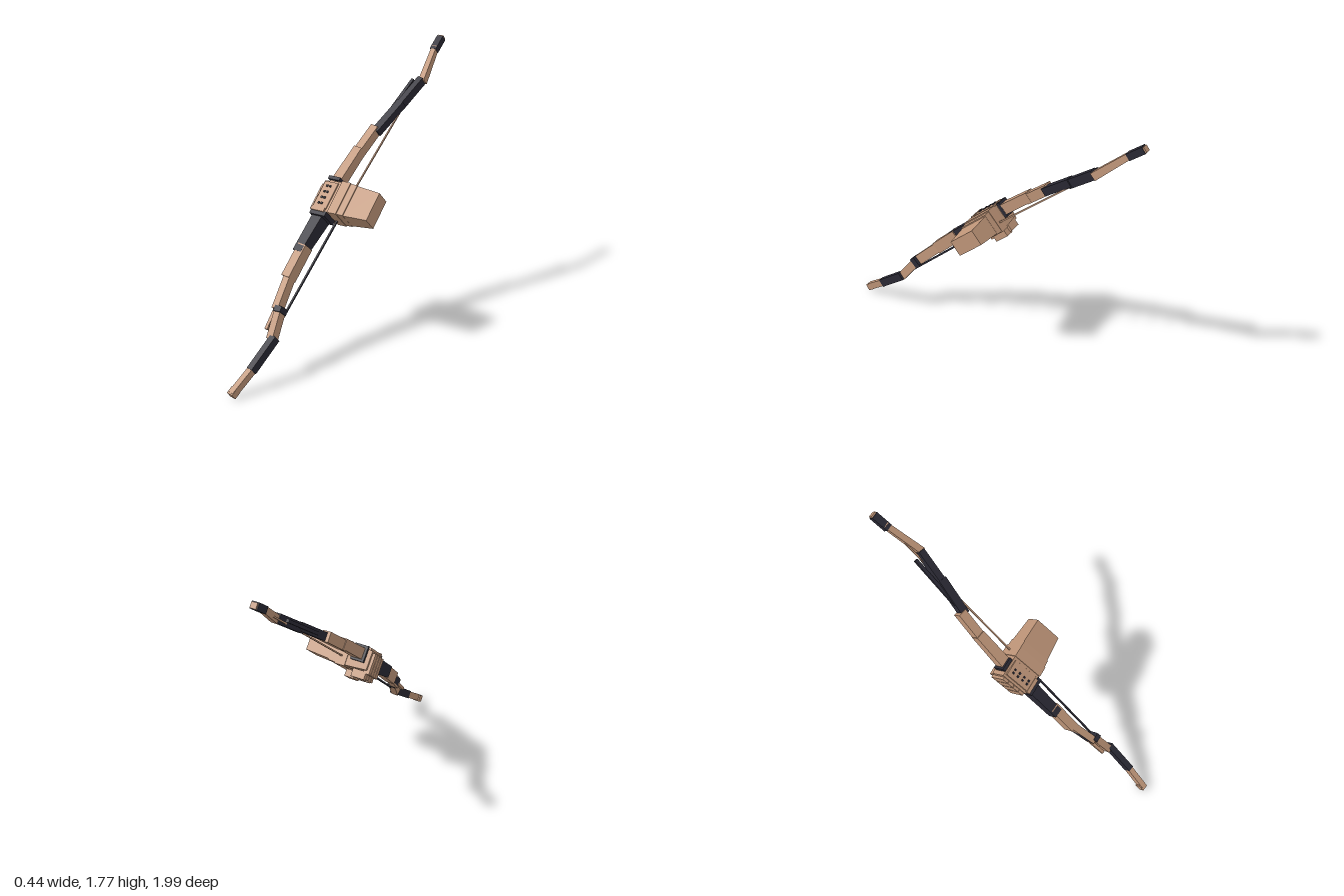
import * as THREE from 'three';

const tan = new THREE.MeshStandardMaterial({ color: 0xc1977a });
tan.name = 'tan';
const dark = new THREE.MeshStandardMaterial({ color: 0x2b2a35 });
dark.name = 'charcoal';

// Box running between two points; w is its width across x, d its depth
function beam(name, mat, a, b, w, d, w2 = w, d2 = d) {
  const A = new THREE.Vector3(...a), B = new THREE.Vector3(...b);
  const dir = B.clone().sub(A);
  const geo = new THREE.BoxGeometry(1, dir.length(), 1);
  const p = geo.attributes.position;
  for (let i = 0; i < p.count; i++) {
    const end = p.getY(i) > 0;
    p.setX(i, p.getX(i) * (end ? w2 : w));
    p.setZ(i, p.getZ(i) * (end ? d2 : d));
  }
  geo.computeVertexNormals();
  const y = dir.normalize();
  const z = new THREE.Vector3(1, 0, 0).cross(y).normalize();
  const x = y.clone().cross(z);
  const mesh = new THREE.Mesh(geo, mat);
  mesh.quaternion.setFromRotationMatrix(new THREE.Matrix4().makeBasis(x, y, z));
  mesh.position.copy(A).add(B).multiplyScalar(0.5);
  mesh.name = name;
  return mesh;
}

function box(name, mat, w, h, d, x, y, z) {
  const mesh = new THREE.Mesh(new THREE.BoxGeometry(w, h, d), mat);
  mesh.position.set(x, y, z);
  mesh.name = name;
  return mesh;
}

// Forearm section along x, with height and depth changing from one end to the other
function sleeve(name, x0, x1, h0, d0, h1, d1) {
  const geo = new THREE.BoxGeometry(x1 - x0, 1, 1);
  const p = geo.attributes.position;
  for (let i = 0; i < p.count; i++) {
    const end = p.getX(i) > 0;
    p.setY(i, p.getY(i) * (end ? h1 : h0));
    p.setZ(i, p.getZ(i) * (end ? d1 : d0));
  }
  geo.computeVertexNormals();
  const mesh = new THREE.Mesh(geo, tan);
  mesh.position.x = (x0 + x1) / 2;
  mesh.name = name;
  return mesh;
}

export function createModel() {
  const model = new THREE.Group();
  model.name = 'bowAndHand';

  // Bow limbs, from the upper tip down to the lower tip
  const bow = new THREE.Group();
  bow.name = 'bow';
  bow.add(
    beam('upperTipCap', tan, [-0.05, 1.735, -0.945], [-0.052, 1.762, -0.978], 0.036, 0.034),
    beam('upperTip', dark, [-0.045, 1.69, -0.885], [-0.052, 1.757, -0.97], 0.044, 0.042),
    beam('upperRecurve', tan, [0.0, 1.53, -0.71], [-0.047, 1.71, -0.905], 0.04, 0.048, 0.034, 0.036),
    beam('upperOuterLimb', dark, [-0.048, 1.4, -0.54], [-0.008, 1.542, -0.715], 0.04, 0.056),
    beam('upperMiddleLimb', dark, [-0.092, 1.265, -0.365], [-0.042, 1.42, -0.555], 0.05, 0.05),
    beam('upperInnerLimb', tan, [-0.128, 1.145, -0.225], [-0.105, 1.285, -0.385], 0.055, 0.062),
    beam('upperGrip', tan, [-0.14, 0.99, -0.04], [-0.125, 1.175, -0.25], 0.07, 0.07, 0.06, 0.064),
    beam('upperRod', dark, [-0.098, 1.27, -0.37], [-0.065, 1.535, -0.7], 0.02, 0.02),
    beam('lowerGrip', dark, [-0.128, 0.84, 0.1], [-0.128, 0.665, 0.31], 0.075, 0.1, 0.062, 0.075),
    beam('lowerInnerLimb', tan, [-0.118, 0.7, 0.27], [-0.115, 0.545, 0.425], 0.06, 0.078),
    beam('lowerMiddleLimb', tan, [-0.112, 0.56, 0.41], [-0.075, 0.405, 0.565], 0.045, 0.065),
    beam('limbInlay', dark, [-0.125, 0.55, 0.42], [-0.094, 0.42, 0.56], 0.014, 0.05),
    beam('limbBand', dark, [-0.055, 0.42, 0.55], [-0.05, 0.395, 0.575], 0.05, 0.07),
    beam('lowerOuterLimb', tan, [-0.058, 0.415, 0.555], [-0.028, 0.265, 0.665], 0.046, 0.056),
    beam('lowerRod', tan, [-0.105, 0.53, 0.44], [-0.08, 0.31, 0.655], 0.02, 0.02),
    beam('lowerRecurve', dark, [-0.012, 0.28, 0.655], [-0.028, 0.135, 0.84], 0.04, 0.054),
    beam('lowerTip', tan, [-0.026, 0.15, 0.82], [-0.052, 0.032, 0.975], 0.036, 0.046),
    beam('lowerTipCap', tan, [-0.052, 0.05, 0.945], [-0.054, 0.024, 0.983], 0.044, 0.044)
  );

  // Bowstring
  bow.add(
    beam('upperString', tan, [-0.038, 0.92, -0.03], [-0.035, 1.68, -0.88], 0.009, 0.009),
    beam('lowerString', dark, [-0.036, 0.92, -0.03], [-0.036, 0.26, 0.67], 0.011, 0.011)
  );
  model.add(bow);

  // Hand and forearm, turned so that local y follows the bow
  const arm = new THREE.Group();
  arm.name = 'arm';
  arm.position.set(0, 0.918, 0.005);
  arm.rotation.set(-0.843, 0, 0);
  const forearm = new THREE.Group();
  forearm.name = 'forearm';
  forearm.rotation.z = 0.08;
  forearm.add(
    sleeve('palm', -0.2, -0.07, 0.2, 0.12, 0.212, 0.14),
    sleeve('wrist', -0.08, -0.062, 0.21, 0.14, 0.21, 0.14),
    sleeve('cuff', -0.065, 0.0, 0.222, 0.155, 0.22, 0.155),
    sleeve('innerSleeve', 0.0, 0.045, 0.215, 0.142, 0.212, 0.138),
    sleeve('outerSleeve', 0.045, 0.205, 0.21, 0.125, 0.19, 0.1)
  );

  // Knuckle plate with studs
  forearm.add(box('knucklePlate', tan, 0.1, 0.18, 0.02, -0.135, 0, 0.066));
  for (let i = 0; i < 4; i++) {
    for (const x of [-0.152, -0.13]) {
      forearm.add(box('stud', dark, 0.012, 0.012, 0.008, x, -0.06 + i * 0.04, 0.079));
    }
  }

  // Fingers curled round the grip
  for (let i = 0; i < 4; i++) {
    const y = -0.075 + i * 0.045;
    forearm.add(
      box('finger', tan, 0.035, 0.04, 0.13, -0.2, y, -0.015),
      box('fingertip', tan, 0.085, 0.04, 0.05, -0.155, y, -0.085 - (i % 2) * 0.008)
    );
  }
  forearm.add(box('thumb', tan, 0.06, 0.1, 0.045, -0.1, 0.015, -0.105));

  // Dark collars where the grip leaves the hand
  forearm.add(
    box('upperCollar', dark, 0.085, 0.022, 0.1, -0.135, 0.122, 0.025),
    box('lowerCollar', dark, 0.115, 0.03, 0.115, -0.13, -0.122, 0.015),
    box('lowerCollarRim', tan, 0.1, 0.025, 0.13, -0.14, -0.1, 0.015)
  );
  arm.add(forearm);
  model.add(arm);
  return model;
}
